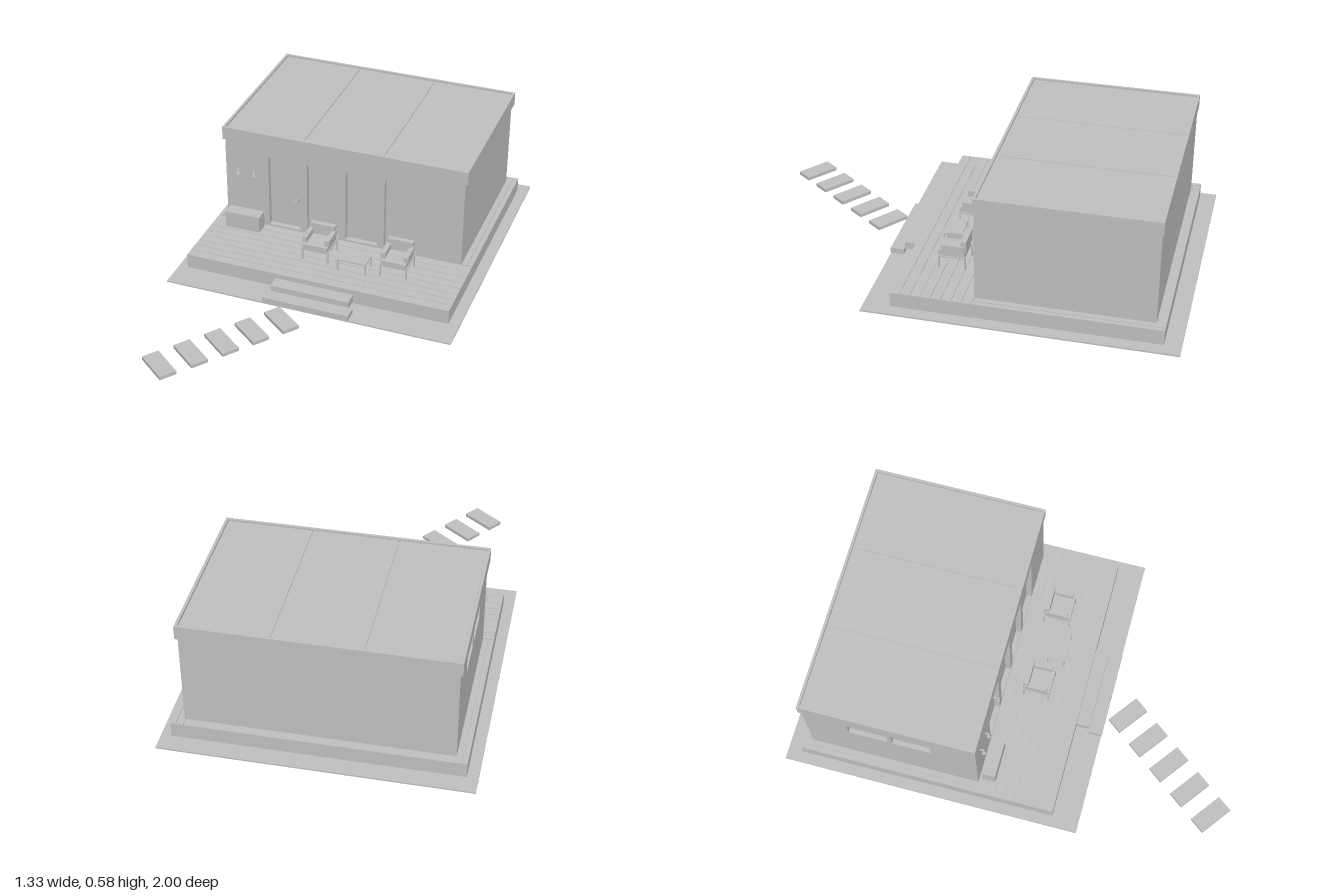
import * as THREE from 'three';

const grey = new THREE.MeshStandardMaterial({ color: 0xc0c0c0 });
grey.name = 'lightGrey';

function add(parent, name, geometry, x = 0, y = 0, z = 0) {
  const mesh = new THREE.Mesh(geometry, grey);
  mesh.name = name;
  mesh.position.set(x, y, z);
  parent.add(mesh);
  return mesh;
}

// Box given by its limits on each axis
function block(parent, name, x0, x1, y0, y1, z0, z1) {
  return add(parent, name, new THREE.BoxGeometry(x1 - x0, y1 - y0, z1 - z0),
    (x0 + x1) / 2, (y0 + y1) / 2, (z0 + z1) / 2);
}

function subgroup(parent, name, x = 0, y = 0, z = 0) {
  const g = new THREE.Group();
  g.name = name;
  g.position.set(x, y, z);
  parent.add(g);
  return g;
}

// Flat wall with rectangular openings [u0, u1, y0, y1]
function wallGeometry(u0, u1, y0, y1, openings, depth) {
  const trace = (path, a, b, c, d) => {
    path.moveTo(a, c); path.lineTo(b, c); path.lineTo(b, d); path.lineTo(a, d); path.closePath();
    return path;
  };
  const shape = trace(new THREE.Shape(), u0, u1, y0, y1);
  for (const o of openings) shape.holes.push(trace(new THREE.Path(), ...o));
  return new THREE.ExtrudeGeometry(shape, { depth, bevelEnabled: false });
}

function addChair(parent, x) {
  const chair = subgroup(parent, 'armchair', x, 0.1, 0.027);
  block(chair, 'seat', -0.058, 0.058, 0.056, 0.085, -0.055, 0.062);
  block(chair, 'backrest', -0.058, 0.058, 0.085, 0.139, -0.061, -0.037);
  for (const s of [-1, 1]) {
    add(chair, 'armrest', new THREE.BoxGeometry(0.02, 0.028, 0.105), s * 0.053, 0.101, -0.004);
    for (const z of [-0.058, 0.058]) {
      add(chair, 'chairLeg', new THREE.BoxGeometry(0.006, 0.06, 0.006), s * 0.06, 0.03, z);
    }
    add(chair, 'sideRail', new THREE.BoxGeometry(0.006, 0.006, 0.122), s * 0.06, 0.058, 0);
  }
}

export function createModel() {
  const model = new THREE.Group();
  model.name = 'cabin';

  // Ground sheet and foundation pads
  block(model, 'groundSheet', -0.663, 0.663, 0.018, 0.025, -1, 0.355);
  for (const x of [-0.555, -0.185, 0.185, 0.555]) {
    for (const z of [-0.13, -0.503, -0.875]) {
      block(model, 'foundationPad', x - 0.03, x + 0.03, 0, 0.035, z - 0.03, z + 0.03);
    }
  }

  // Deck with narrow gaps between boards
  block(model, 'deckBase', -0.616, 0.616, 0.033, 0.097, -0.928, 0.235);
  const boards = subgroup(model, 'deckBoards');
  for (let i = 0; i < 8; i++) {
    const z = 0.235 - i * 0.0445;
    block(boards, 'deckBoard', -0.616, 0.616, 0.097, 0.101, z - 0.042, z);
  }
  for (const s of [-1, 1]) {
    add(boards, 'sideBoard', new THREE.BoxGeometry(0.021, 0.004, 0.805), s * 0.6055, 0.099, -0.5255);
    add(boards, 'sideBoard', new THREE.BoxGeometry(0.03, 0.004, 0.805), s * 0.577, 0.099, -0.5255);
  }
  block(boards, 'backBoard', -0.56, 0.56, 0.097, 0.101, -0.928, -0.901);

  // Steps
  block(model, 'upperStep', -0.185, 0.18, 0.042, 0.077, 0.235, 0.296);
  block(model, 'lowerStep', -0.2, 0.2, 0.025, 0.05, 0.296, 0.357);

  // House body, with openings in the front and one side wall
  block(model, 'houseBody', -0.547, 0.566, 0.1, 0.525, -0.887, -0.143);
  const fronts = [[-0.358, -0.205], [-0.171, -0.018], [0.015, 0.168], [0.199, 0.352]]
    .map(([a, b]) => [a, b, 0.11, 0.466]);
  add(model, 'frontWall', wallGeometry(-0.567, 0.566, 0.1, 0.525, fronts, 0.025), 0, 0, -0.143);
  const sides = [[-0.69, -0.515, 0.375, 0.465], [-0.495, -0.32, 0.375, 0.465]];
  const sideWall = add(model, 'sideWall',
    wallGeometry(-0.887, -0.143, 0.1, 0.525, sides, 0.02), -0.547, 0, 0);
  sideWall.rotation.y = -Math.PI / 2;

  // Door handle
  block(model, 'handleStem', -0.222, -0.216, 0.251, 0.268, -0.143, -0.112);
  block(model, 'doorHandle', -0.238, -0.216, 0.258, 0.263, -0.116, -0.11);

  // Roof: fascia boards around three slightly sunken panels
  const roof = subgroup(model, 'roof');
  for (const s of [-1, 1]) {
    add(roof, 'sideFascia', new THREE.BoxGeometry(0.012, 0.062, 0.78), s * 0.572, 0.554, -0.503);
    add(roof, 'endFascia', new THREE.BoxGeometry(1.132, 0.062, 0.012), 0, 0.554, -0.503 + s * 0.384);
  }
  block(roof, 'roofBase', -0.566, 0.566, 0.523, 0.572, -0.881, -0.125);
  for (const x of [-0.3775, 0, 0.3775]) {
    block(roof, 'roofPanel', x - 0.187, x + 0.187, 0.572, 0.577, -0.88, -0.126);
  }

  // Storage bench
  block(model, 'storageBench', -0.548, -0.38, 0.1, 0.18, -0.106, -0.045);

  // Wall lamps
  for (const x of [-0.502, -0.425]) {
    add(model, 'lampShade', new THREE.CylinderGeometry(0.004, 0.012, 0.026, 16), x, 0.378, -0.102);
    block(model, 'lampArm', x - 0.003, x + 0.003, 0.386, 0.393, -0.12, -0.099);
  }

  // Seating and low table
  addChair(model, -0.055);
  addChair(model, 0.313);
  const table = subgroup(model, 'lowTable', 0.127, 0.1, 0.073);
  block(table, 'tableTop', -0.068, 0.068, 0.053, 0.06, -0.04, 0.04);
  for (const x of [-0.065, 0.065]) {
    for (const z of [-0.037, 0.037]) {
      block(table, 'tableLeg', x - 0.003, x + 0.003, 0, 0.053, z - 0.003, z + 0.003);
    }
  }

  // Path of stepping stones
  for (let i = 0; i < 5; i++) {
    const stone = add(model, 'steppingStone', new THREE.BoxGeometry(0.163, 0.016, 0.078),
      -0.071 - i * 0.0895, 0.024, 0.45 + i * 0.1167);
    stone.rotation.y = -0.65;
  }

  return model;
}
